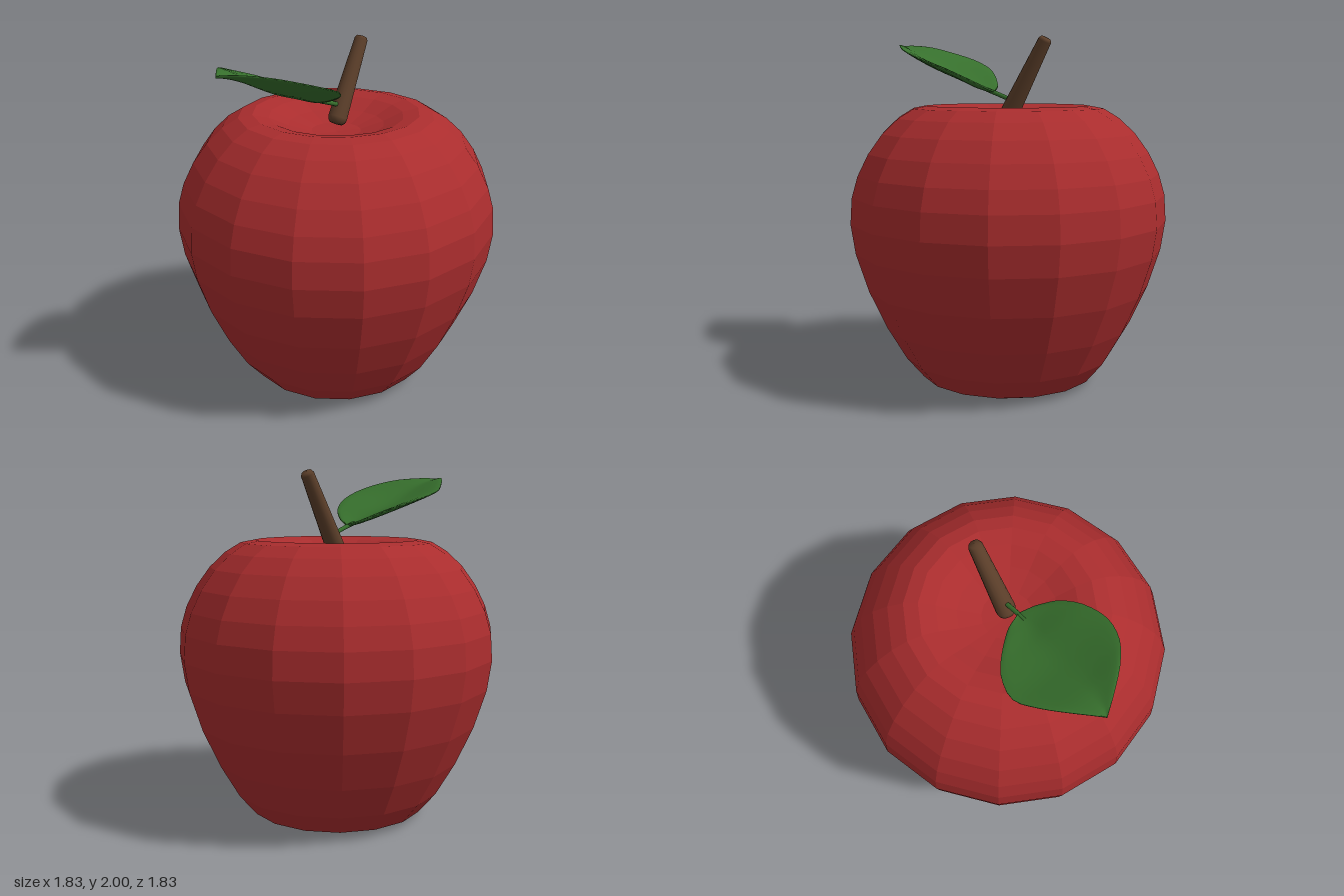
import * as THREE from 'three';

const material = (color, flatShading = false) =>
  new THREE.MeshStandardMaterial({ color, flatShading });

function part(name, geometry, mat) {
  const mesh = new THREE.Mesh(geometry, mat);
  mesh.name = name;
  return mesh;
}

const profile = (points) => points.map(([r, y]) => new THREE.Vector2(r, y));

// Leaf blade: cupped cross-sections spanned between two edge curves and a midrib
function leafGeometry() {
  // x, back edge z, front edge z, midrib y, edge y
  const stations = [
    [-0.085, 0, 0, 1.675, 1.68],
    [-0.12, -0.1, 0.08, 1.68, 1.71],
    [-0.19, -0.2, 0.17, 1.695, 1.76],
    [-0.3, -0.315, 0.23, 1.735, 1.815],
    [-0.45, -0.37, 0.25, 1.79, 1.87],
    [-0.58, -0.31, 0.2, 1.85, 1.915],
    [-0.68, -0.24, 0.1, 1.9, 1.945],
    [-0.77, -0.165, -0.035, 1.935, 1.955],
    [-0.82, -0.12, -0.12, 1.945, 1.95],
  ];
  const curve = (f) => new THREE.CatmullRomCurve3(
    stations.map((s) => new THREE.Vector3(...f(s))));
  const back = curve(([x, b, , , y]) => [x, b, y]);
  const front = curve(([x, , f, , y]) => [x, f, y]);
  const rib = curve(([x, b, f, y]) => [x, (b + f) / 2, y]);

  const rows = 24, across = 12, loop = 2 * (across + 1);
  const positions = [], index = [];
  for (let i = 0; i <= rows; i++) {
    const t = i / rows;
    const b = back.getPoint(t), f = front.getPoint(t), m = rib.getPoint(t);
    for (let j = 0; j < loop; j++) {
      const top = j <= across;
      const k = top ? j : loop - 1 - j;
      const s = (2 * k) / across - 1;
      const z = THREE.MathUtils.lerp(b.y, f.y, (s + 1) / 2);
      const thickness = 0.008 + 0.022 * (1 - s ** 4) * Math.sin(Math.PI * t);
      const y = m.z + (b.z - m.z) * Math.abs(s) ** 1.4;
      positions.push(m.x, y + (top ? thickness : 0), z);
    }
  }
  for (let i = 0; i < rows; i++) {
    for (let j = 0; j < loop; j++) {
      const a = i * loop + j, n = i * loop + (j + 1) % loop;
      index.push(a, a + loop, n, n, a + loop, n + loop);
    }
  }
  const geometry = new THREE.BufferGeometry();
  geometry.setAttribute('position', new THREE.Float32BufferAttribute(positions, 3));
  geometry.setIndex(index);
  geometry.computeVertexNormals();
  return geometry;
}

export function createModel() {
  const model = new THREE.Group();
  model.name = 'apple';
  const green = material(0x37702d);

  // Sixteen-sided fruit, hollowed underneath and dimpled on top
  model.add(part('fruit', new THREE.LatheGeometry(profile([
    [0, 0.14], [0.2, 0.12], [0.36, 0.05], [0.43, 0], [0.51, 0.03],
    [0.61, 0.15], [0.72, 0.34], [0.82, 0.56], [0.89, 0.78], [0.915, 0.95],
    [0.905, 1.1], [0.87, 1.22], [0.81, 1.34], [0.73, 1.45], [0.64, 1.535],
    [0.55, 1.59], [0.47, 1.605], [0.38, 1.585], [0.27, 1.535], [0.14, 1.495],
    [0, 1.485],
  ]), 16), material(0xaa2d2e, true)));

  // Leaning, tapered stem with rounded ends
  const base = new THREE.Vector3(-0.005, 1.53, 0);
  const tip = new THREE.Vector3(0.245, 1.985, 0);
  const along = tip.clone().sub(base);
  const length = along.length();
  const stem = part('stem', new THREE.LatheGeometry(profile([
    [0, 0], [0.035, 0.004], [0.05, 0.018], [0.055, 0.04],
    [0.038, length - 0.02], [0.03, length - 0.004], [0, length],
  ]), 16), material(0x5c3f2a));
  stem.position.copy(base);
  stem.quaternion.setFromUnitVectors(new THREE.Vector3(0, 1, 0), along.normalize());
  model.add(stem);

  // Leaf and its stalk
  model.add(part('leaf', leafGeometry(), green));
  const stalk = new THREE.CatmullRomCurve3([
    new THREE.Vector3(0.04, 1.63, 0),
    new THREE.Vector3(-0.04, 1.66, 0),
    new THREE.Vector3(-0.14, 1.695, -0.005),
  ]);
  model.add(part('leafStalk', new THREE.TubeGeometry(stalk, 8, 0.013, 8), green));

  return model;
}
